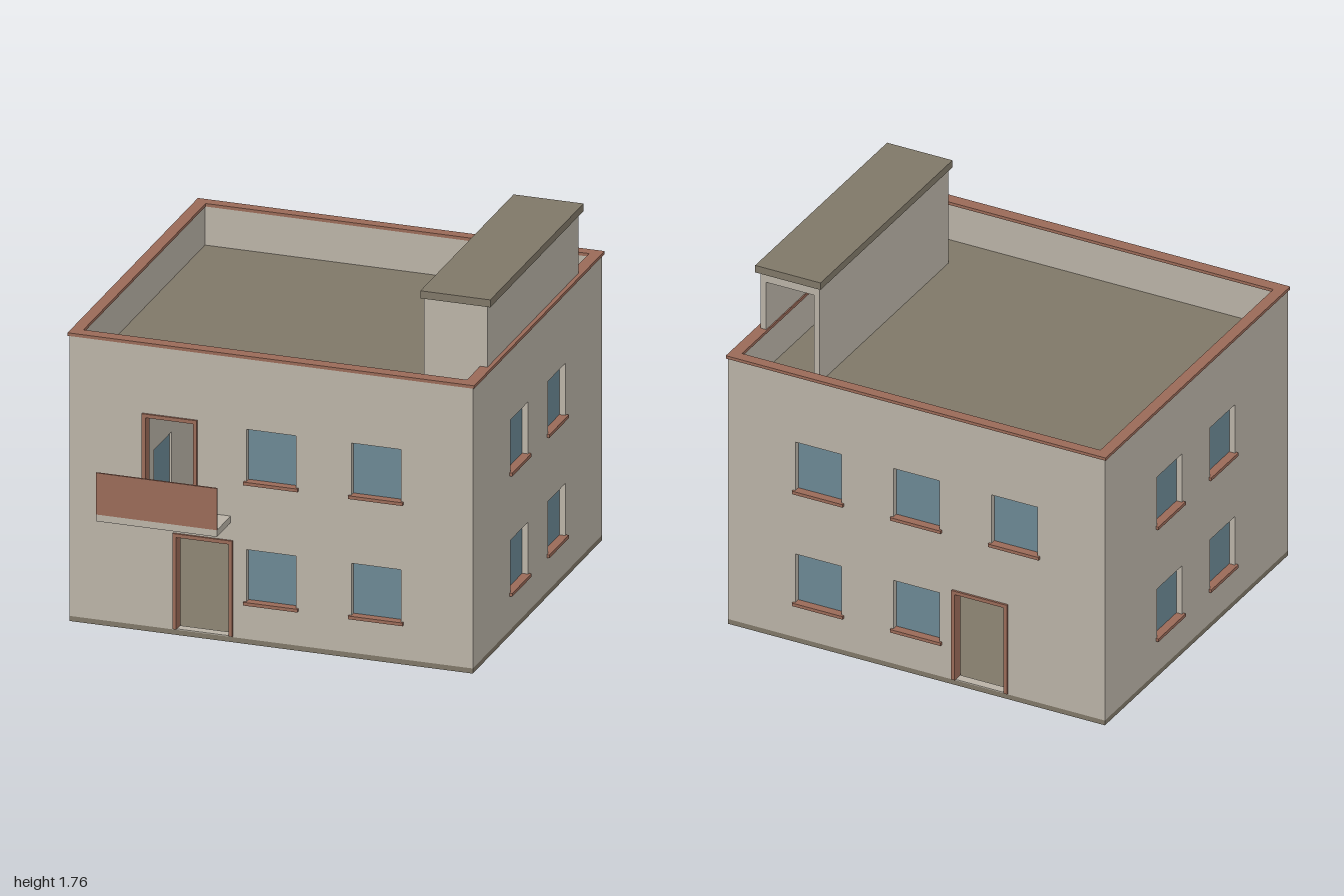
import * as THREE from 'three';

const material = (name, color) => Object.assign(new THREE.MeshStandardMaterial({ color }), { name });

export function createModel() {
  const model = new THREE.Group();
  model.name = 'house';
  const plaster = material('plaster', 0xbab3a7);
  const trim = material('terracotta trim', 0x9a6a58);
  const slab = material('roof slab', 0x807868);
  const glass = material('window glass', 0x6c8894);

  const T = 0.045; // wall thickness
  const FRONT = 0.8, BACK = -0.97, SIDE = 0.98;
  const BASE = 0.025, TOP = 1.405;

  // box given by its lower and upper limits on each axis
  const box = (parent, name, mat, [x0, x1], [y0, y1], [z0, z1]) => {
    const mesh = new THREE.Mesh(new THREE.BoxGeometry(x1 - x0, y1 - y0, z1 - z0), mat);
    mesh.position.set((x0 + x1) / 2, (y0 + y1) / 2, (z0 + z1) / 2);
    mesh.name = name;
    parent.add(mesh);
    return mesh;
  };

  const rectangle = (target, x0, x1, y0, y1) => {
    target.moveTo(x0, y0);
    target.lineTo(x1, y0);
    target.lineTo(x1, y1);
    target.lineTo(x0, y1);
    target.closePath();
    return target;
  };

  // glass pane set back in its opening, with a projecting sill
  const addWindow = (parent, x, y) => {
    box(parent, 'windowPane', glass, [x - 0.12, x + 0.12], [y, y + 0.26], [-0.037, -0.029]);
    box(parent, 'windowSill', trim, [x - 0.132, x + 0.132], [y - 0.012, y + 0.004], [-0.03, 0.013]);
  };

  // two jambs and a head around an open doorway
  const addDoorFrame = (parent, [x0, x1, y0, y1]) => {
    const w = 0.016, depth = [-T - 0.002, 0.01];
    box(parent, 'doorJamb', trim, [x0 - w, x0 + 0.002], [y0, y1 + w], depth);
    box(parent, 'doorJamb', trim, [x1 - 0.002, x1 + w], [y0, y1 + w], depth);
    box(parent, 'doorHead', trim, [x0, x1], [y1 - 0.002, y1 + w], depth);
  };

  // wall with openings; its outer face lies on local z = 0
  const addWall = (name, [x0, x1], windows, doors, position, turn) => {
    const wall = new THREE.Group();
    wall.name = name;
    const shape = rectangle(new THREE.Shape(), x0, x1, BASE, TOP);
    for (const [x, y] of windows) {
      shape.holes.push(rectangle(new THREE.Path(), x - 0.12, x + 0.12, y, y + 0.26));
      addWindow(wall, x, y);
    }
    for (const door of doors) {
      shape.holes.push(rectangle(new THREE.Path(), ...door));
      addDoorFrame(wall, door);
    }
    const geometry = new THREE.ExtrudeGeometry(shape, { depth: T, bevelEnabled: false });
    geometry.translate(0, 0, -T);
    const mesh = new THREE.Mesh(geometry, plaster);
    mesh.name = name + 'Plaster';
    wall.add(mesh);
    wall.position.set(...position);
    wall.rotation.y = turn;
    model.add(wall);
  };

  const LOW = 0.205, HIGH = 0.797;
  const grid = (columns) => columns.flatMap((x) => [[x, LOW], [x, HIGH]]);

  // four outer walls
  addWall('frontWall', [-SIDE, SIDE], grid([0, 0.51]),
    [[-0.46, -0.202, 0.03, 0.485], [-0.61, -0.375, 0.62, 1.055]], [0, 0, FRONT], 0);
  addWall('backWall', [-SIDE, SIDE], [...grid([0, -0.51]), [0.51, HIGH]],
    [[0.202, 0.46, 0.03, 0.485]], [0, 0, BACK], Math.PI);
  addWall('leftWall', [-FRONT + T, -BACK - T], grid([-0.165, 0.345]), [], [SIDE, 0, 0], Math.PI / 2);
  addWall('rightWall', [BACK + T, FRONT - T], grid([0.165, -0.345]), [], [-SIDE, 0, 0], -Math.PI / 2);

  // ground slab and sunken flat roof
  box(model, 'groundSlab', slab, [-SIDE, SIDE], [0, BASE], [BACK, FRONT]);
  box(model, 'flatRoof', slab, [-SIDE + T, SIDE - T], [1.18, 1.215], [BACK + T, FRONT - T]);

  // parapet coping
  const ring = rectangle(new THREE.Shape(), -0.988, 0.988, -0.805, 0.978);
  ring.holes.push(rectangle(new THREE.Path(), -0.932, 0.932, -0.745, 0.925));
  const coping = new THREE.Mesh(
    new THREE.ExtrudeGeometry(ring, { depth: 0.015, bevelEnabled: false }), trim);
  coping.rotation.x = -Math.PI / 2;
  coping.position.y = TOP;
  coping.name = 'parapetCoping';
  model.add(coping);

  // balcony
  const balcony = new THREE.Group();
  balcony.name = 'balcony';
  box(balcony, 'balconySlab', plaster, [-0.785, -0.197], [0.587, 0.62], [FRONT, 0.988]);
  box(balcony, 'balconyPanel', trim, [-0.785, -0.197], [0.62, 0.825], [0.979, 0.988]);
  model.add(balcony);

  // rooftop stair house, open at the back end
  const stairHouse = new THREE.Group();
  stairHouse.name = 'stairHouse';
  const height = [1.2, 1.72];
  box(stairHouse, 'stairHouseInnerWall', plaster, [0.66, 0.69], height, [-0.68, 0.565]);
  box(stairHouse, 'stairHouseOuterWall', plaster, [0.938, 0.968], height, [-0.68, 0.565]);
  box(stairHouse, 'stairHouseFrontWall', plaster, [0.69, 0.938], height, [0.535, 0.565]);
  box(stairHouse, 'stairHouseLintel', plaster, [0.69, 0.938], [1.67, 1.72], [-0.68, -0.65]);
  box(stairHouse, 'stairHouseRoof', slab, [0.645, 0.985], [1.72, 1.757], [-0.7, 0.575]);
  model.add(stairHouse);

  return model;
}
